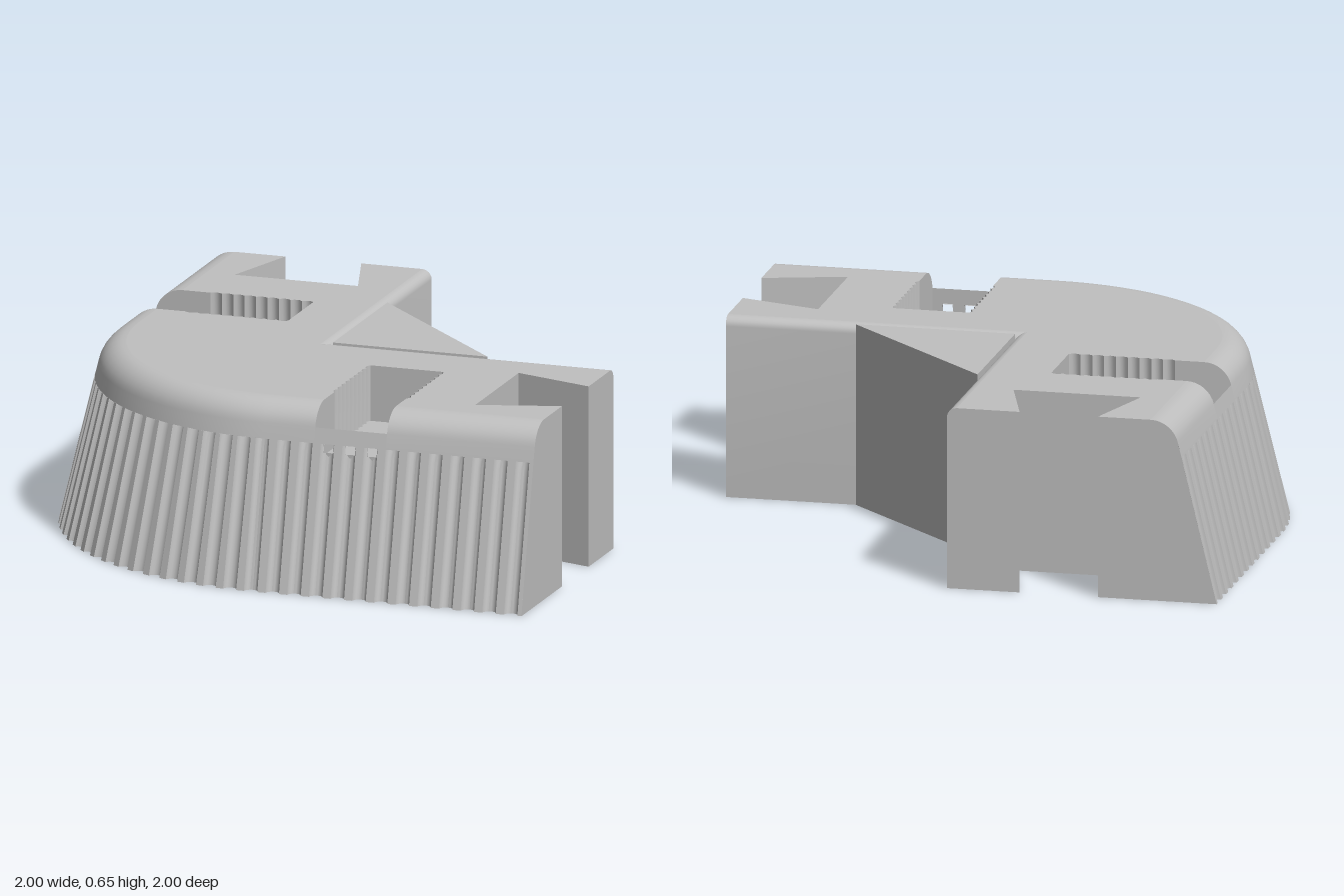
import * as THREE from 'three';
import { toCreasedNormals } from 'three/addons/utils/BufferGeometryUtils.js';

const H = 0.65;            // total height
const GROOVE_TOP = 0.52, GROOVE_R = 0.025;
const IN = 0.035;          // inner wall position and fillet radius
const SLOPE = 0.2414;      // inward lean of the outer wall
const ROUND = 0.1, RC = 0.764, TANGENT = Math.atan(SLOPE);
const P0 = 0.19, P1 = 0.455, PBACK = 0.28, PWAVE = 0.66, PFLOOR = 0.45;  // pocket limits
const HOLES = [0.24, 0.32, 0.4];
const radiusAt = (y) => 1 - SLOPE * y;
const V = (x, y, z) => new THREE.Vector3(x, y, z);

// Rounded top edge as [radius, height] points
const edge = Array.from({ length: 9 }, (_, i) => {
  const a = TANGENT + (Math.PI / 2 - TANGENT) * i / 8;
  return [RC + ROUND * Math.cos(a), H - ROUND + ROUND * Math.sin(a)];
});
const [PEND, PLIP] = edge[0];

// Inner fillet as [z, height] points
const fillet = Array.from({ length: 7 }, (_, i) => {
  const a = Math.PI / 2 * i / 6;
  return [2 * IN - IN * Math.cos(a), H - IN + IN * Math.sin(a)];
});

// Surface through rows of points
function loft(rows, skip = () => false) {
  const n = rows[0].length, index = [];
  for (let i = 0; i < rows.length - 1; i++)
    for (let j = 0; j < n - 1; j++) {
      if (skip(i, j)) continue;
      const a = i * n + j, d = a + n;
      index.push(a, a + 1, d + 1, a, d + 1, d);
    }
  const g = new THREE.BufferGeometry().setFromPoints(rows.flat());
  g.setIndex(index);
  return toCreasedNormals(g, 0.6);
}

const wall = (pts, y0, y1) => loft([y0, y1].map((y) => pts.map(([x, z]) => V(x, y, z))));

function plate(pts, holes = []) {
  const toV = (l) => l.map(([x, y]) => new THREE.Vector2(x, y));
  const shape = new THREE.Shape(toV(pts));
  holes.forEach((h) => shape.holes.push(new THREE.Path(toV(h))));
  return new THREE.ShapeGeometry(shape).toNonIndexed();
}
const facingUp = (pts, y) => plate(pts.map(([x, z]) => [x, -z])).rotateX(-Math.PI / 2).translate(0, y, 0);
const facingRight = (pts, x) => plate(pts.map(([z, y]) => [-z, y])).rotateY(Math.PI / 2).translate(x, 0, 0);
const facingLeft = (pts, x) => plate(pts).rotateY(-Math.PI / 2).translate(x, 0, 0);

// Mirror a piece of one arm onto the other arm: (x, z) -> (-z, -x)
const mirrorPts = (pts) => pts.map(([x, z]) => [-z, -x]).reverse();
function mirrored(geo) {
  const g = geo.clone().applyMatrix4(new THREE.Matrix4().set(0, 0, -1, 0, 0, 1, 0, 0, -1, 0, 0, 0, 0, 0, 0, 1));
  for (const a of [g.attributes.position, g.attributes.normal])
    for (let i = 0; i < a.count; i += 3) {
      const p = V().fromBufferAttribute(a, i + 1), q = V().fromBufferAttribute(a, i + 2);
      a.setXYZ(i + 1, q.x, q.y, q.z);
      a.setXYZ(i + 2, p.x, p.y, p.z);
    }
  return g;
}

// Stations along the outer wall: left arm, round corner, front arm
const leftAt = (s) => ({ cx: 0, cz: -s, nx: -1, nz: 0, s });
const frontAt = (s) => ({ cx: s, cz: 0, nx: 0, nz: 1, s });
const arcAt = (k) => {
  const a = Math.PI / 2 * (1 - k / 20);
  return { cx: 0, cz: 0, nx: -Math.sin(a), nz: Math.cos(a), s: 0 };
};
const at = (f, r, y, w = 0) => V(f.cx + f.nx * r + f.nz * w, y, f.cz + f.nz * r - f.nx * w);

export function createModel() {
  const model = new THREE.Group();
  const grey = new THREE.MeshStandardMaterial({ color: 0xc0c0c0, side: THREE.DoubleSide });
  grey.name = 'grey';
  const add = (name, geo) => {
    const m = new THREE.Mesh(geo, grey);
    m.name = name;
    model.add(m);
  };
  const addBoth = (name, geo) => {
    add(name + 'Front', geo);
    add(name + 'Side', mirrored(geo));
  };

  // Grooved outer wall
  const steps = Array.from({ length: 12 }, (_, i) => (i + 1) * 0.08);
  const corner = Array.from({ length: 21 }, (_, k) => arcAt(k));
  const grooves = [...steps.map(leftAt).reverse(), ...corner, ...steps.map(frontAt)];
  const line = [{ f: leftAt(1), w: 0, d: 0 }];
  for (const f of grooves)
    for (let i = 0; i <= 8; i++) {
      const a = Math.PI * i / 8;
      const open = i >= 2 && i < 6 && HOLES.some((h) => Math.abs(h - f.s) < 0.01);
      line.push({ f, w: -GROOVE_R * Math.cos(a), d: GROOVE_R * Math.sin(a), open });
    }
  line.push({ f: frontAt(1), w: 0, d: 0 });
  const groovedRow = (y) => line.map(({ f, w, d }) => at(f, radiusAt(y) - d, y, w));
  add('groovedWall', loft([0, 0.485, GROOVE_TOP].map(groovedRow), (i, j) => i === 1 && line[j].open));
  add('grooveEnds', loft([groovedRow(GROOVE_TOP), line.map(({ f, w }) => at(f, radiusAt(GROOVE_TOP), GROOVE_TOP, w))]));

  // Smooth rim above the grooves, interrupted by the pocket mouths
  const rim = (frames, profile) => loft(profile.map(([r, y]) => frames.map((f) => at(f, r, y))));
  const band = [[radiusAt(GROOVE_TOP), GROOVE_TOP], edge[0]];
  const full = [band[0], ...edge];
  add('cornerRim', rim([leftAt(P0), ...corner, frontAt(P0)], full));
  addBoth('armRim', rim([frontAt(P1), frontAt(1)], full));
  addBoth('pocketLip', rim([frontAt(P0), frontAt(P1)], band));

  // Scalloped pocket outline
  const scallop = Array.from({ length: 37 }, (_, i) => [
    0.01 * Math.abs(Math.sin(Math.PI * i / 4)), PWAVE + (PBACK - PWAVE) * i / 36]);
  const pocket = [
    ...scallop.map(([o, z]) => [P0 - o, z]),
    ...scallop.map(([o, z]) => [P1 + o, z]).reverse(),
  ];
  const slot = [[1, 0.575], [0.71, 0.66], [0.71, 0.205], [1, 0.295]];

  // Flat top and bottom
  const topHalf = [
    ...corner.slice(11).map((f) => [f.nx * RC, f.nz * RC]),
    [P0, RC], ...pocket, [P1, RC], [1, RC], ...slot, [1, 2 * IN],
  ];
  add('topFace', facingUp([...topHalf, [-2 * IN, 2 * IN], ...mirrorPts(topHalf),
    [corner[10].nx * RC, corner[10].nz * RC]], H));
  const bottomHalf = [...slot, [1, IN]];
  add('bottomFace', plate([...groovedRow(0).map((p) => [p.x, p.z]), ...bottomHalf,
    [-IN, IN], ...mirrorPts(bottomHalf)]).rotateX(Math.PI / 2));

  // Pockets
  addBoth('pocketScallops', wall(pocket, PFLOOR, H));
  const cheek = [[PWAVE, PFLOOR], [PEND, PFLOOR], ...edge, [PWAVE, H]];
  addBoth('pocketCheekA', facingRight(cheek, P0));
  addBoth('pocketCheekB', facingLeft(cheek, P1));
  addBoth('pocketFloor', facingUp([[P0 - 0.01, PBACK], [P1 + 0.01, PBACK], [P1 + 0.01, PEND], [P0 - 0.01, PEND]], PFLOOR));
  const hw = 0.0177;
  addBoth('pocketEnd', plate(
    [[-P0, PFLOOR], [-P1, PFLOOR], [-P1, PLIP], [-P0, PLIP]],
    HOLES.map((x) => [[-x - hw, 0.485], [-x + hw, 0.485], [-x + hw, GROOVE_TOP], [-x - hw, GROOVE_TOP]]),
  ).rotateY(Math.PI).translate(0, 0, PEND));

  // Dovetail slots and arm ends
  addBoth('dovetailSlot', wall(slot, 0, H));
  addBoth('armEndOuter', facingRight([[0.575, 0], [1, 0], ...edge, [0.575, H]], 1));
  addBoth('armEndInner', facingRight([[0.295, 0], [0.295, H], ...[...fillet].reverse(), [IN, 0]], 1));

  // Inner walls with filleted top edge, and the corner gusset
  addBoth('innerWall', loft([[IN, 0], ...fillet].map(([z, y]) => [V(1, y, z), V(-z, y, z)])));
  const tri = new THREE.Shape([[-IN, -IN], [0.535, -IN], [-IN, 0.535]].map(([x, y]) => new THREE.Vector2(x, y)));
  add('gusset', new THREE.ExtrudeGeometry(tri, { depth: H, bevelEnabled: false }).rotateX(-Math.PI / 2));

  return model;
}
